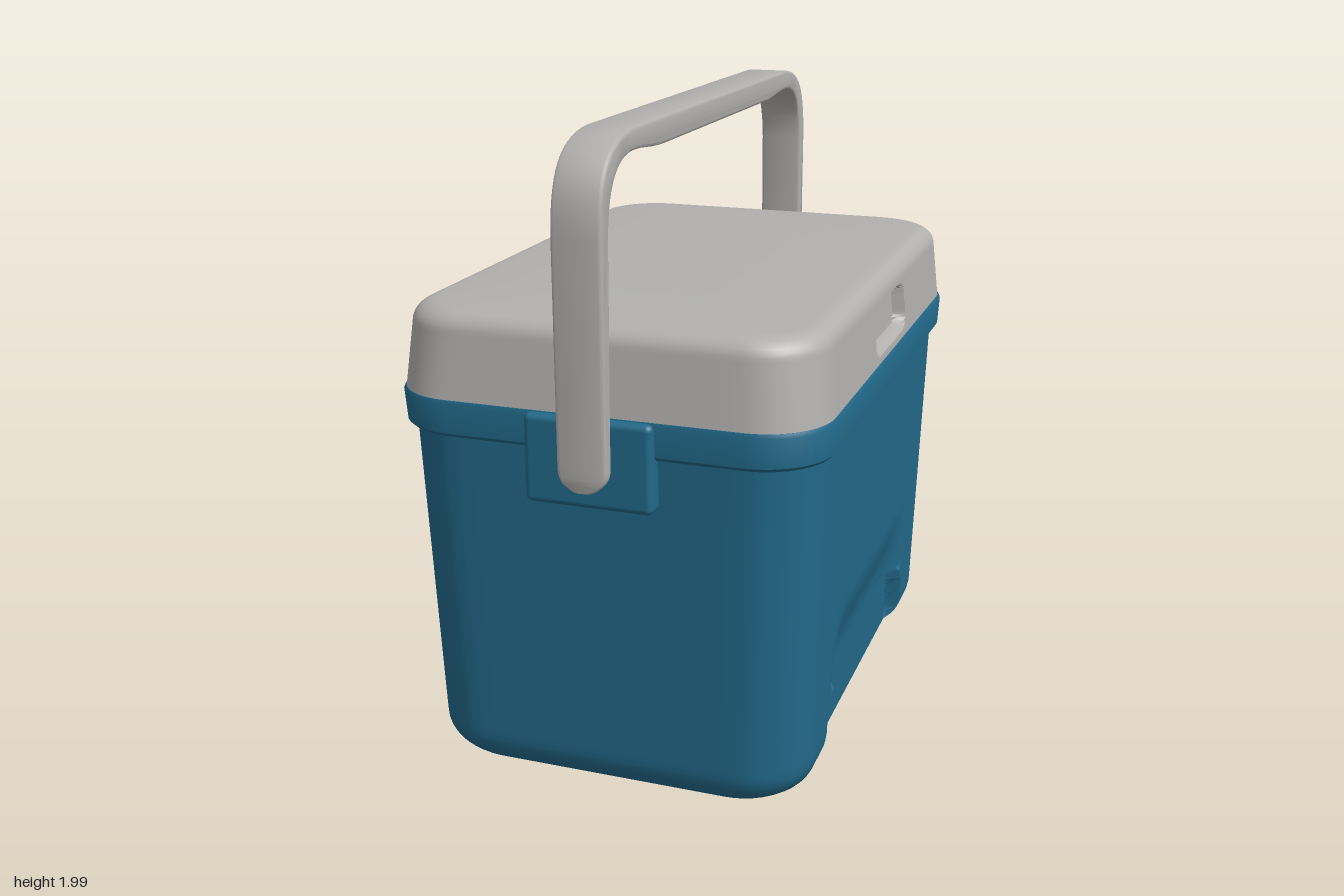
import * as THREE from 'three';
import { toCreasedNormals } from 'three/addons/utils/BufferGeometryUtils.js';
import { RoundedBoxGeometry } from 'three/addons/geometries/RoundedBoxGeometry.js';

const { smoothstep, lerp } = THREE.MathUtils;

// Rounded rectangle in plan, starting at the -z end of the +x side
function ring(hx, hz, r) {
  const pts = [];
  const corner = (cx, cz, a0) => {
    for (let i = 0; i < 10; i++) {
      const a = a0 + (i / 10) * Math.PI / 2;
      pts.push([cx + r * Math.cos(a), cz + r * Math.sin(a)]);
    }
  };
  const line = (x0, z0, x1, z1, n) => {
    for (let i = 0; i < n; i++) pts.push([lerp(x0, x1, i / n), lerp(z0, z1, i / n)]);
  };
  const ix = hx - r, iz = hz - r;
  line(hx, -iz, hx, iz, 110);
  corner(ix, iz, 0);
  line(ix, hz, -ix, hz, 12);
  corner(-ix, iz, Math.PI / 2);
  line(-hx, iz, -hx, -iz, 110);
  corner(-ix, -iz, Math.PI);
  line(-ix, -hz, ix, -hz, 12);
  corner(ix, -iz, Math.PI * 1.5);
  return pts;
}

// Skin stacked sections [y, halfX, halfZ, cornerRadius]; deform moves each vertex
function loft(sections, deform = (p) => p) {
  const pos = [], idx = [];
  let n = 0;
  for (const [y, hx, hz, r] of sections) {
    const pts = ring(hx, hz, r);
    n = pts.length;
    for (const [x, z] of pts) pos.push(...deform([x, y, z]));
  }
  const last = (sections.length - 1) * n;
  for (let j = 0; j < last; j += n) {
    for (let i = 0; i < n; i++) {
      const k = (i + 1) % n;
      idx.push(j + i, j + n + i, j + k, j + k, j + n + i, j + n + k);
    }
  }
  const base = last + n;
  pos.push(0, sections[0][0], 0, 0, sections[sections.length - 1][0], 0);
  for (let i = 0; i < n; i++) {
    const k = (i + 1) % n;
    idx.push(base, i, k, base + 1, last + k, last + i);
  }
  const g = new THREE.BufferGeometry();
  g.setAttribute('position', new THREE.Float32BufferAttribute(pos, 3));
  g.setIndex(idx);
  return toCreasedNormals(g, 0.6);
}

// Tapered tub with a rounded bottom edge
function bodySections() {
  const s = [[0.022, 0.2, 0.4, 0.1], [0.02, 0.44, 0.7, 0.14], [0.002, 0.465, 0.74, 0.15]];
  for (let i = 0; i <= 10; i++) {
    const a = (i / 10) * Math.PI / 2;
    s.push([0.13 * (1 - Math.cos(a)), 0.477 + 0.123 * Math.sin(a), 0.75 + 0.12 * Math.sin(a), 0.16 + 0.04 * Math.sin(a)]);
  }
  const wall = (y) => {
    const t = (y - 0.13) / 0.99;
    s.push([y, lerp(0.6, 0.628, t), lerp(0.87, 0.91, t), 0.2]);
  };
  for (let y = 0.15; y < 0.58; y += 0.0125) wall(y);
  [0.7, 0.9, 1.12].forEach(wall);
  return s;
}

// Hand scoops along the bottom of both long sides
function scoop([x, y, z]) {
  const az = Math.abs(z);
  let depth = 0;
  if (y <= 0.262) {
    const w = 0.56 - 0.05 * (y / 0.26) - 0.05 * smoothstep(y, 0.18, 0.27);
    depth = 0.055 * (1 - smoothstep(az, w - 0.02, w));
  } else {
    depth = 0.055 * (1 - smoothstep(y, 0.25, 0.52)) * (1 - smoothstep(az, 0.3, 0.54));
  }
  const limit = 0.6 + 0.028 * (y - 0.13) - depth;
  if (depth > 0 && Math.abs(x) > limit) x = Math.sign(x) * limit;
  if (az < 0.54) y = Math.max(y, 0.02);
  return [x, y, z];
}

// Lid with softly rounded top edge
function lidSections() {
  const s = [];
  for (let i = 0; i <= 24; i++) {
    const t = i / 24;
    s.push([lerp(1.2, 1.4, t), lerp(0.648, 0.63, t), lerp(0.932, 0.905, t), 0.2]);
  }
  for (let i = 1; i <= 8; i++) {
    const a = (i / 8) * Math.PI / 2, c = 0.065 * (1 - Math.cos(a));
    s.push([1.4 + 0.062 * Math.sin(a), 0.63 - c, 0.905 - c, 0.2 - c * 0.5]);
  }
  s.push([1.466, 0.5, 0.78, 0.14], [1.468, 0.2, 0.4, 0.1]);
  return s;
}

// Finger pocket in the +x side of the lid
function pocket([x, y, z]) {
  if (x > 0.6 && y < 1.4) {
    const r = 0.045;
    const dz = Math.max(Math.abs(z) - (0.205 - r), 0);
    const dy = Math.max(Math.abs(y - 1.313) - (0.071 - r), 0);
    x -= 0.04 * (1 - smoothstep(Math.hypot(dz, dy), r - 0.008, r + 0.004));
  }
  return [x, y, z];
}

// Bail handle outline in the z-y plane, extruded across x
function handleGeometry() {
  const b = 0.01;
  const s = new THREE.Shape();
  s.moveTo(0.985, 1.015);
  for (let y = 1.03; y < 1.1; y += 0.015) s.lineTo(0.987, y);
  s.lineTo(0.99, 1.72);
  s.bezierCurveTo(0.985, 1.89, 0.92, 1.965, 0.74, 1.975);
  s.lineTo(-0.74, 1.975);
  s.bezierCurveTo(-0.92, 1.965, -0.985, 1.89, -0.99, 1.72);
  for (let y = 1.09; y > 1.02; y -= 0.015) s.lineTo(-0.987, y);
  s.lineTo(-0.985, 1.015);
  s.lineTo(-0.962, 1.015);
  for (let y = 1.03; y < 1.1; y += 0.015) s.lineTo(-0.96, y);
  s.lineTo(-0.95, 1.72);
  s.bezierCurveTo(-0.94, 1.86, -0.88, 1.925, -0.75, 1.93);
  s.bezierCurveTo(-0.65, 1.93, -0.6, 1.915, -0.5, 1.915);
  s.lineTo(0.5, 1.915);
  s.bezierCurveTo(0.6, 1.915, 0.65, 1.93, 0.75, 1.93);
  s.bezierCurveTo(0.88, 1.925, 0.94, 1.86, 0.95, 1.72);
  for (let y = 1.09; y > 1.02; y -= 0.015) s.lineTo(0.96, y);
  s.lineTo(0.962, 1.015);
  const g = new THREE.ExtrudeGeometry(s, {
    depth: 0.126, bevelEnabled: true, bevelThickness: b, bevelSize: b, bevelSegments: 3, curveSegments: 14,
  });
  g.translate(0, 0, -0.063);
  g.rotateY(-Math.PI / 2);
  // Round off the lower ends of the legs
  const p = g.attributes.position, r = 0.065;
  for (let i = 0; i < p.count; i++) {
    const d = 1.07 - p.getY(i);
    if (d > 0) {
      const k = (0.015 + Math.sqrt(Math.max(r * r - d * d, 0))) / (0.015 + r);
      p.setX(i, p.getX(i) * k);
    }
  }
  return toCreasedNormals(g, 0.6);
}

export function createModel() {
  const blue = new THREE.MeshStandardMaterial({ color: 0x22698a });
  blue.name = 'blue plastic';
  const grey = new THREE.MeshStandardMaterial({ color: 0xb1b0ae });
  grey.name = 'light grey plastic';

  const cooler = new THREE.Group();
  cooler.name = 'cooler';
  const add = (name, geometry, material) => {
    const m = new THREE.Mesh(geometry, material);
    m.name = name;
    cooler.add(m);
    return m;
  };

  add('body', loft(bodySections(), scoop), blue);
  add('rim', loft([
    [1.1, 0.61, 0.89, 0.19], [1.1, 0.64, 0.92, 0.2], [1.112, 0.652, 0.932, 0.21],
    [1.2, 0.657, 0.937, 0.21], [1.212, 0.652, 0.934, 0.21], [1.212, 0.6, 0.88, 0.19],
  ]), blue);
  add('lid', loft(lidSections(), pocket), grey);
  add('handle', handleGeometry(), grey);

  // Handle mounts at both ends
  for (const side of [1, -1]) {
    const mount = add(side > 0 ? 'frontMount' : 'backMount', new RoundedBoxGeometry(0.385, 0.265, 0.11, 3, 0.02), blue);
    mount.position.set(0, 1.077, side * 0.902);
  }
  return cooler;
}
